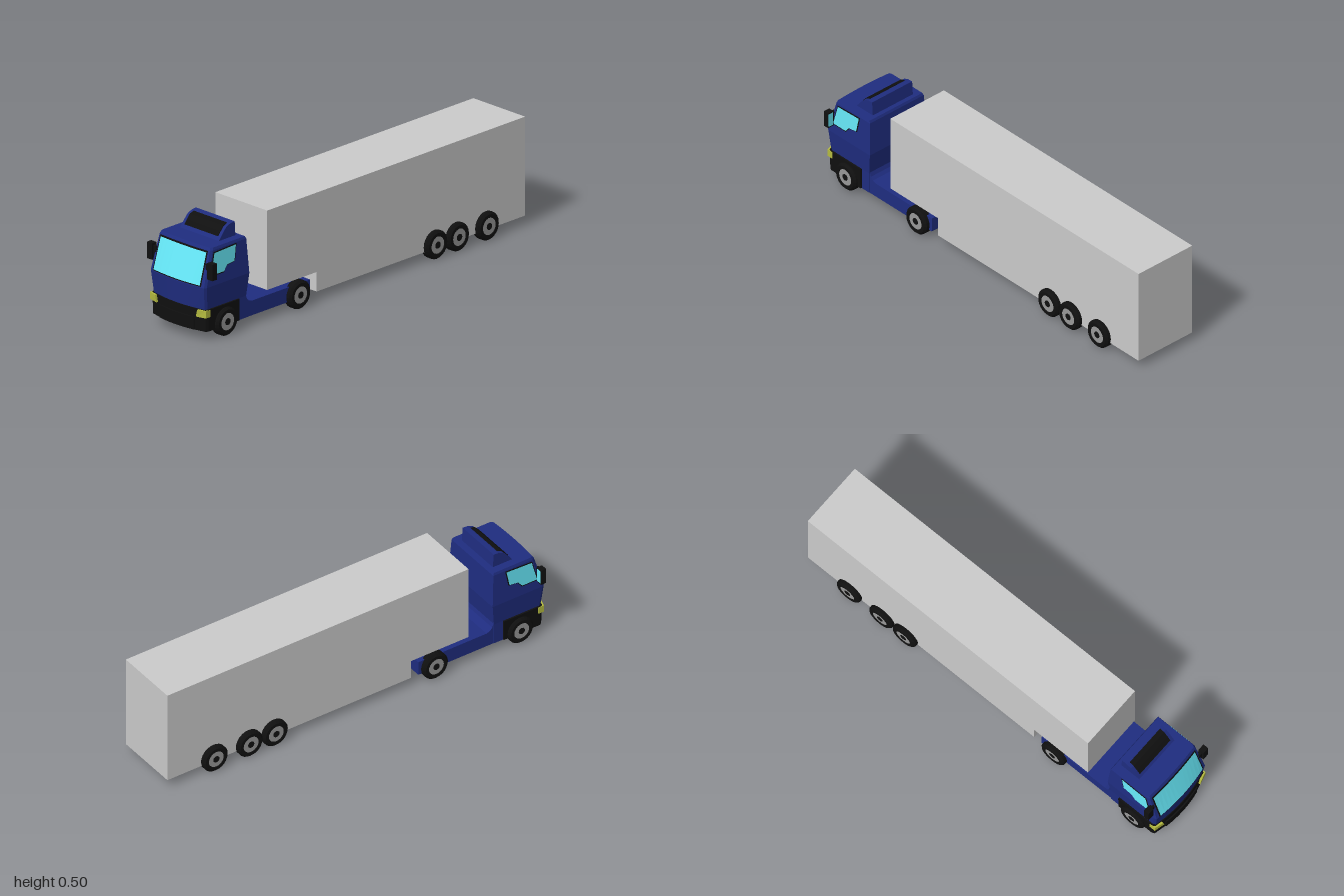
import * as THREE from 'three';

const mat = (color, side = THREE.FrontSide) =>
  new THREE.MeshStandardMaterial({ color, side, flatShading: true });
const blue = mat(0x1f2d80), black = mat(0x101010), grey = mat(0xcccccc);
const rimGrey = mat(0x999999), yellow = mat(0xb5bb40), glass = mat(0x66e8f8);
const glassSheet = mat(0x66e8f8, THREE.DoubleSide), blackSheet = mat(0x101010, THREE.DoubleSide);
const lerp = THREE.MathUtils.lerp;

function add(parent, name, geometry, material) {
  const mesh = new THREE.Mesh(geometry, material);
  mesh.name = name;
  parent.add(mesh);
  return mesh;
}

function box(x0, x1, y0, y1, z0, z1) {
  return new THREE.BoxGeometry(Math.abs(x1 - x0), y1 - y0, z1 - z0)
    .translate((x0 + x1) / 2, (y0 + y1) / 2, (z0 + z1) / 2);
}

// Side profile of [z, y] points, extruded across x
function extrudeX(points, halfWidth) {
  const shape = new THREE.Shape(points.map(p => new THREE.Vector2(...p)));
  return new THREE.ExtrudeGeometry(shape, { depth: 2 * halfWidth, bevelEnabled: false })
    .rotateY(-Math.PI / 2).translate(halfWidth, 0, 0);
}

// Closed solid through stacked plan rings of [x, y, z], clockwise from above
function loft(rings) {
  const n = rings[0].length, pos = rings.flat(2), idx = [];
  for (let r = 0; r < rings.length - 1; r++) {
    for (let i = 0; i < n; i++) {
      const j = (i + 1) % n, a = r * n + i, b = r * n + j;
      idx.push(a, a + n, b, b, a + n, b + n);
    }
  }
  const top = (rings.length - 1) * n;
  for (let i = 1; i < n - 1; i++) {
    idx.push(top, top + i + 1, top + i);
    idx.push(0, i, i + 1);
  }
  const g = new THREE.BufferGeometry();
  g.setAttribute('position', new THREE.Float32BufferAttribute(pos, 3));
  g.setIndex(idx);
  const flat = g.toNonIndexed();
  flat.computeVertexNormals();
  return flat;
}

// Plan outline with a gently bowed front and clipped front corners
function bowedRing([y, w, back, corner, centre]) {
  const ring = [[-w, y, back], [w, y, back], [w, y, corner - 0.012]];
  for (let i = 3; i >= -3; i--) {
    const t = i / 3;
    ring.push([t * (w - 0.006), y, lerp(centre, corner, t * t)]);
  }
  ring.push([-w, y, corner - 0.012]);
  return ring;
}

// Cab surface between the waist (y 0.25) and the roof edge (y 0.41)
const rise = y => (y - 0.25) / 0.16;
const sideX = y => lerp(0.168, 0.159, rise(y));
const frontZ = (x, y) => lerp(
  lerp(0.999, 0.984, (x / 0.162) ** 2), lerp(0.944, 0.938, (x / 0.153) ** 2), rise(y));

function windscreen(bottomHalf, topHalf, y0, y1, lift) {
  const g = new THREE.PlaneGeometry(2, 1, 12, 1), p = g.attributes.position;
  for (let i = 0; i < p.count; i++) {
    const v = p.getY(i) + 0.5, y = lerp(y0, y1, v);
    const x = p.getX(i) * lerp(bottomHalf, topHalf, v);
    p.setXYZ(i, x, y, frontZ(x, y) + lift);
  }
  g.computeVertexNormals();
  return g;
}

function sideWindow(side, grow, lift) {
  const outline = [[0.945, 0.3], [0.92, 0.397], [0.787, 0.402], [0.8, 0.33], [0.845, 0.325], [0.866, 0.3]];
  const shape = new THREE.Shape(outline.map(([z, y]) =>
    new THREE.Vector2(0.87 + (z - 0.87) * (1 + grow), 0.353 + (y - 0.353) * (1 + grow * 1.5))));
  const g = new THREE.ShapeGeometry(shape), p = g.attributes.position;
  for (let i = 0; i < p.count; i++) {
    const z = p.getX(i), y = p.getY(i);
    p.setXYZ(i, side * (sideX(y) + lift), y, z);
  }
  g.computeVertexNormals();
  return g;
}

function makeWheel(name, side, z) {
  const wheel = new THREE.Group();
  wheel.name = name;
  const profile = [[0, -0.0235], [0.056, -0.0235], [0.0655, -0.014], [0.0655, 0.014],
    [0.056, 0.0235], [0.041, 0.0235], [0.038, 0.018], [0, 0.018]];
  const turn = g => g.rotateZ(-side * Math.PI / 2);
  add(wheel, 'tyre', turn(new THREE.LatheGeometry(profile.map(p => new THREE.Vector2(...p)), 24)), black);
  add(wheel, 'rim', turn(new THREE.CylinderGeometry(0.039, 0.039, 0.006, 24).translate(0, 0.018, 0)), rimGrey);
  add(wheel, 'hub', turn(new THREE.CylinderGeometry(0.016, 0.016, 0.006, 12).translate(0, 0.02, 0)), black);
  wheel.position.set(side * 0.1585, 0.0655, z);
  return wheel;
}

export function createModel() {
  const truck = new THREE.Group();
  truck.name = 'articulatedTruck';

  // Trailer box with a raised nose over the coupling
  add(truck, 'trailer', extrudeX([[-1, 0.043], [0.285, 0.043], [0.285, 0.134],
    [0.59, 0.134], [0.59, 0.503], [-1, 0.503]], 0.158), grey);

  // Tractor chassis curving up into the back of the cab
  add(truck, 'chassis', extrudeX([[0.325, 0.042], [0.8, 0.042], [0.8, 0.15], [0.722, 0.15],
    [0.715, 0.13], [0.703, 0.116], [0.685, 0.11], [0.325, 0.11]], 0.157), blue);

  // Cab
  const cab = new THREE.Group();
  cab.name = 'cab';
  truck.add(cab);
  add(cab, 'cabBody', loft([
    [0.043, 0.16, 0.722, 0.966, 0.988],
    [0.145, 0.16, 0.722, 0.972, 0.99],
    [0.25, 0.168, 0.71, 0.984, 0.999],
    [0.41, 0.159, 0.72, 0.938, 0.944],
    [0.421, 0.155, 0.725, 0.932, 0.938],
  ].map(bowedRing)), blue);

  // Bumper with a raised lower lip
  add(cab, 'bumper', loft([[0.044, 0.166, 0.77, 0.971, 0.993],
    [0.145, 0.168, 0.77, 0.975, 0.994]].map(bowedRing)), black);
  add(cab, 'bumperLip', loft([[0.045, 0.11, 0.95, 0.988, 0.998],
    [0.105, 0.11, 0.95, 0.99, 1.0]].map(bowedRing)), black);

  // Windscreen
  add(cab, 'windscreenFrame', windscreen(0.147, 0.145, 0.254, 0.408, 0.002), blackSheet);
  add(cab, 'windscreen', windscreen(0.141, 0.139, 0.259, 0.401, 0.004), glassSheet);

  // Roof fairing with a dark front panel
  add(cab, 'roofFairing', extrudeX([[0.745, 0.415], [0.852, 0.415], [0.82, 0.455],
    [0.8, 0.476], [0.775, 0.485], [0.75, 0.487]], 0.118), blue);
  add(cab, 'fairingPanel', extrudeX([[0.78, 0.437], [0.838, 0.437], [0.823, 0.456],
    [0.803, 0.478], [0.78, 0.485]], 0.102), black);

  for (const side of [1, -1]) {
    const label = side > 0 ? 'left' : 'right';

    add(cab, label + 'WindowFrame', sideWindow(side, 0.07, 0.001), blackSheet);
    add(cab, label + 'Window', sideWindow(side, 0, 0.003), glassSheet);

    // Headlight wrapping the corner of the bumper
    const lamp = ([y, inner, outer]) => {
      const ring = [[inner, 0.95], [outer, 0.95], [outer, 0.98], [inner, 0.992]]
        .map(([x, z]) => [side * x, y, z]);
      return side > 0 ? ring : ring.reverse();
    };
    add(cab, label + 'Headlight', loft([[0.111, 0.12, 0.17], [0.144, 0.128, 0.1695]].map(lamp)), yellow);

    // Door mirror
    const mirror = new THREE.Group();
    mirror.name = label + 'Mirror';
    cab.add(mirror);
    add(mirror, 'mirrorHousing', box(side * 0.168, side * 0.2, 0.29, 0.366, 0.943, 0.97), black);
    add(mirror, 'mirrorArm', box(side * 0.15, side * 0.17, 0.3, 0.356, 0.945, 0.962), black);
    add(mirror, 'mirrorGlass', box(side * 0.172, side * 0.196, 0.296, 0.36, 0.9415, 0.945), glass);

    // Wheels: two axles on the tractor, three on the trailer
    [0.855, 0.405].forEach(z => truck.add(makeWheel(label + 'TractorWheel', side, z)));
    [-0.44, -0.573, -0.757].forEach(z => truck.add(makeWheel(label + 'TrailerWheel', side, z)));
  }
  return truck;
}
